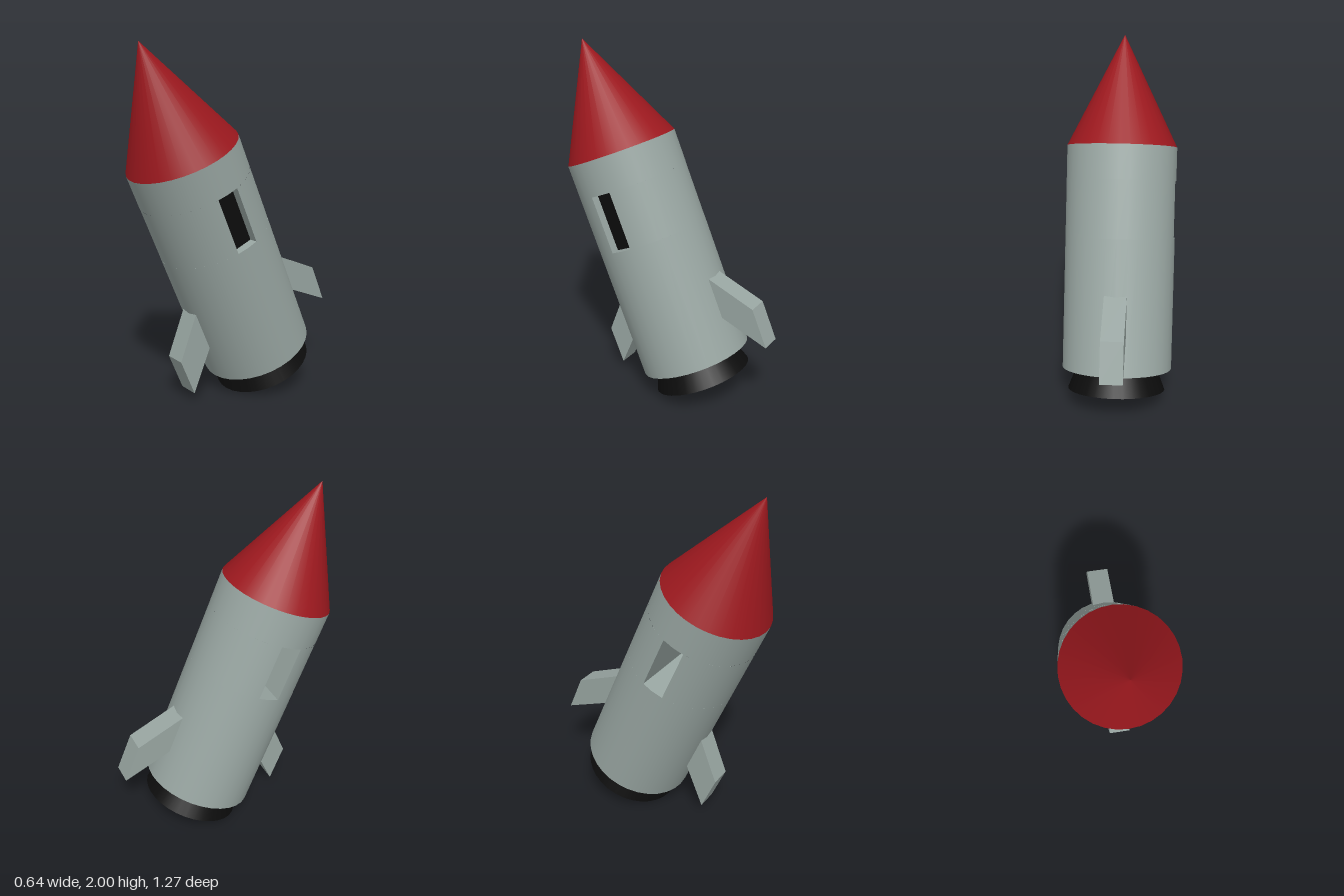
import * as THREE from 'three';

const paint = (color, side = THREE.FrontSide) => new THREE.MeshStandardMaterial({ color, side });

export function createModel() {
  const model = new THREE.Group();
  model.name = 'rocket';
  // Everything is built upright, then the whole rocket leans forward
  const rocket = new THREE.Group();
  rocket.name = 'leaningRocket';
  rocket.position.set(0, 0.225, -0.158);
  rocket.rotation.x = 0.4;
  model.add(rocket);

  const hull = paint(0x98a5a1);
  const hullInside = paint(0x98a5a1, THREE.DoubleSide);
  const red = paint(0x9c181e);
  const black = paint(0x0c0c0c, THREE.DoubleSide);

  const add = (name, geometry, material, x = 0, y = 0, z = 0) => {
    const mesh = new THREE.Mesh(geometry, material);
    mesh.name = name;
    mesh.position.set(x, y, z);
    rocket.add(mesh);
    return mesh;
  };

  const R = 0.318, LENGTH = 1.286, SIDES = 32;
  const slotLow = 0.765, slotHigh = 1.093, slotHalf = 0.064;
  const slotHeight = slotHigh - slotLow, slotY = (slotLow + slotHigh) / 2;

  // Body below and above the window slot
  add('lowerBody', new THREE.CylinderGeometry(R, R, slotLow, SIDES), hull, 0, slotLow / 2);
  const upper = LENGTH - slotHigh;
  add('upperBody', new THREE.CylinderGeometry(R, R, upper, SIDES), hull, 0, slotHigh + upper / 2);

  // Body beside the slot: front and back shells with the flat slot walls
  const slotAngle = Math.asin(slotHalf / R);
  const arc = Math.PI - 2 * slotAngle;
  const wallWidth = 2 * R * Math.cos(slotAngle);
  for (const [label, s, start] of [['front', 1, 0], ['back', -1, Math.PI]]) {
    add(label + 'Shell', new THREE.CylinderGeometry(R, R, slotHeight, 16, 1, true, start - arc / 2, arc), hull, 0, slotY);
    add(label + 'SlotWall', new THREE.PlaneGeometry(wallWidth, slotHeight), hullInside, 0, slotY, s * slotHalf);
  }

  // Dark pane set into the window slot
  add('windowPane', new THREE.BoxGeometry(0.02, slotHeight, slotHalf * 2), black, 0.25, slotY);

  // Nose cone
  add('noseCone', new THREE.ConeGeometry(R, 0.64, SIDES), red, 0, LENGTH + 0.32);

  // Flared nozzle with a grey rim, a shallow bore and a dark floor
  const drop = 0.125, flare = 0.282, bore = 0.23, depth = 0.06;
  add('nozzle', new THREE.CylinderGeometry(0.233, flare, drop, SIDES, 1, true), black, 0, -drop / 2);
  add('nozzleRim', new THREE.RingGeometry(bore, flare, SIDES), hullInside, 0, -drop).rotation.x = Math.PI / 2;
  add('nozzleBore', new THREE.CylinderGeometry(bore, bore, depth, SIDES, 1, true), hullInside, 0, -drop + depth / 2);
  add('nozzleFloor', new THREE.CircleGeometry(bore, SIDES), black, 0, -drop + depth).rotation.x = Math.PI / 2;

  // Swept fins on the front and back; each profile is drawn outward and up
  const finWidth = 0.126;
  const addFin = (name, reach, tipHigh, tipLow, turn) => {
    const profile = new THREE.Shape([[0.3, 0.23], [reach, tipLow], [reach, tipHigh], [0.3, 0.465]]
      .map(([out, up]) => new THREE.Vector2(out, up)));
    const geometry = new THREE.ExtrudeGeometry(profile, { depth: finWidth, bevelEnabled: false });
    geometry.translate(0, 0, -finWidth / 2);
    add(name, geometry, hull).rotation.y = turn;
  };
  addFin('frontFin', 0.504, 0.256, 0.034, -Math.PI / 2);
  addFin('backFin', 0.52, 0.238, 0.008, Math.PI / 2);

  return model;
}
